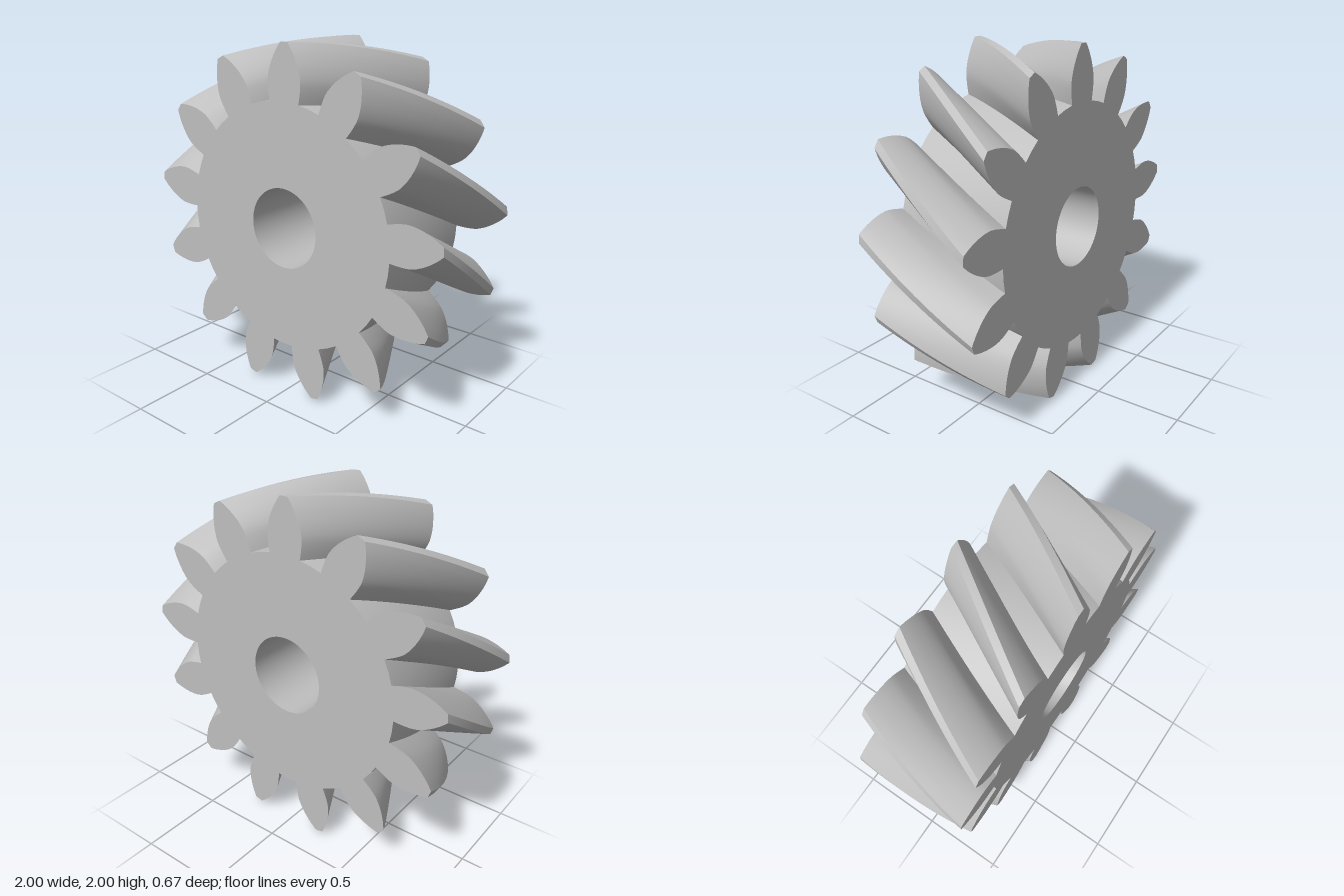
import * as THREE from 'three';
import { toCreasedNormals } from 'three/addons/utils/BufferGeometryUtils.js';

const TEETH = 13;
const WIDTH = 0.667;
const ROOT_RADIUS = 0.698;
const BORE_RADIUS = 0.228;
const FRONT_ANGLE = THREE.MathUtils.degToRad(88.6); // tooth direction on the front face
const TWIST = THREE.MathUtils.degToRad(25.5);       // turn from back face to front face

// Half tooth, root to tip: [distance from the axis, half thickness]
const FLANK = [
  [0.698, 0.1], [0.74, 0.107], [0.79, 0.112], [0.83, 0.11],
  [0.88, 0.096], [0.925, 0.075], [0.965, 0.051], [1, 0.024],
];

// Smooth the flank with a spline
function flankPoints() {
  const curve = new THREE.SplineCurve(FLANK.map(([r, w]) => new THREE.Vector2(r, w)));
  return curve.getPoints(14);
}

function gearOutline() {
  const flank = flankPoints();
  const points = [];
  const polar = (r, a) => points.push(new THREE.Vector2(r * Math.cos(a), r * Math.sin(a)));
  const pitch = (2 * Math.PI) / TEETH;
  for (let i = 0; i < TEETH; i++) {
    const centre = FRONT_ANGLE - TWIST + i * pitch;
    flank.forEach((p) => polar(p.x, centre - p.y / p.x));                   // trailing flank
    polar(1, centre);                                                       // tip land
    [...flank].reverse().forEach((p) => polar(p.x, centre + p.y / p.x));    // leading flank
    polar(ROOT_RADIUS, centre + pitch / 2);                                 // root of the gap
  }
  const shape = new THREE.Shape(points);
  const bore = new THREE.Path();
  bore.absarc(0, 0, BORE_RADIUS, 0, Math.PI * 2, true);
  shape.holes.push(bore);
  return shape;
}

export function createModel() {
  const steel = new THREE.MeshStandardMaterial({ color: 0xbfbfbf });
  steel.name = 'steel grey';

  // Extrude the toothed profile, then turn each slice to make the helix
  const geometry = new THREE.ExtrudeGeometry(gearOutline(), {
    depth: WIDTH, steps: 24, curveSegments: 36, bevelEnabled: false,
  });
  const pos = geometry.attributes.position;
  const v = new THREE.Vector3();
  const axis = new THREE.Vector3(0, 0, 1);
  for (let i = 0; i < pos.count; i++) {
    v.fromBufferAttribute(pos, i);
    v.applyAxisAngle(axis, (TWIST * v.z) / WIDTH);
    pos.setXYZ(i, v.x, v.y + 1, v.z - WIDTH / 2);
  }
  geometry.clearGroups();

  const gear = new THREE.Mesh(toCreasedNormals(geometry, THREE.MathUtils.degToRad(32)), steel);
  gear.name = 'helicalGear';

  const group = new THREE.Group();
  group.name = 'gear';
  group.add(gear);
  return group;
}
